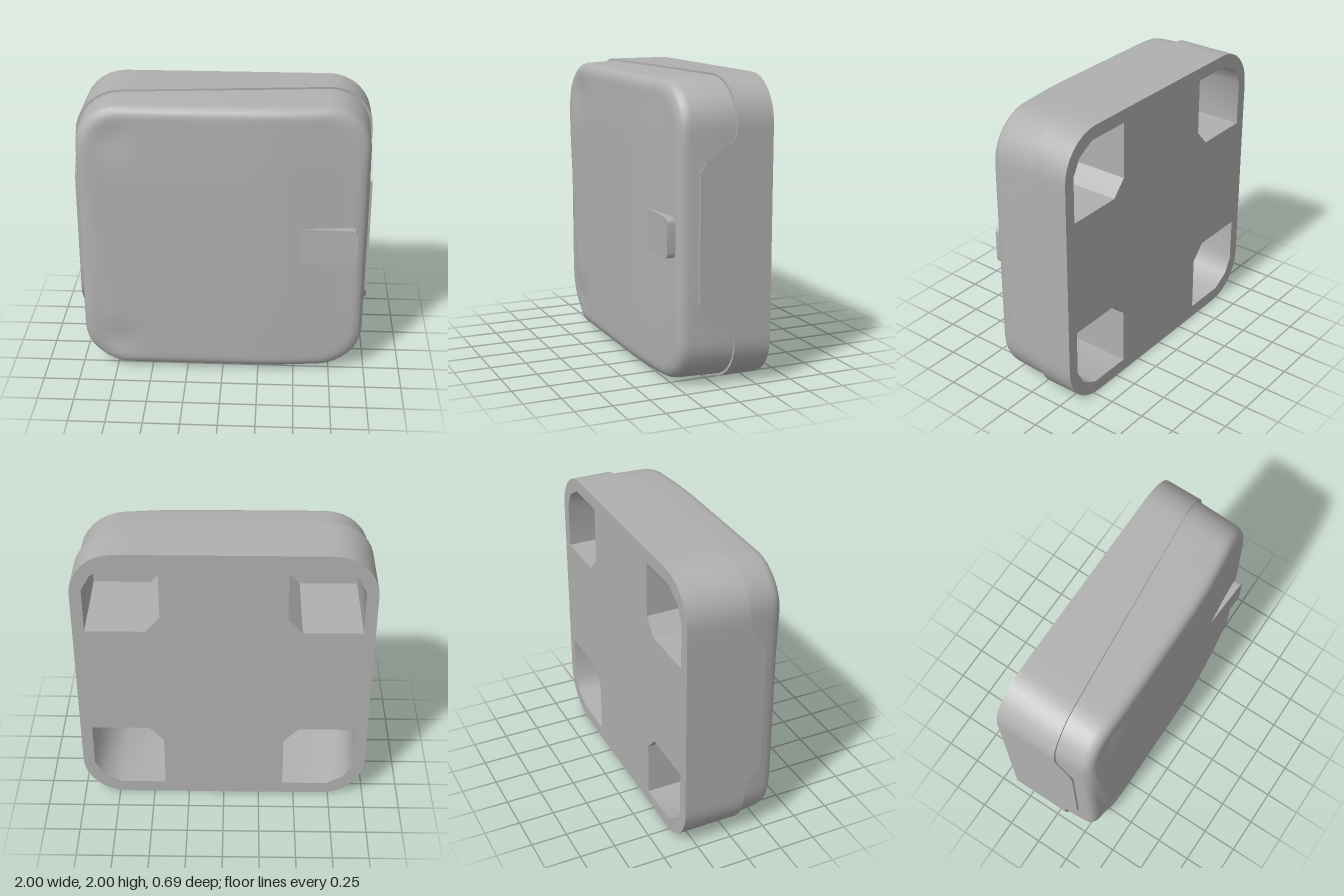
import * as THREE from 'three';
import { toCreasedNormals } from 'three/addons/utils/BufferGeometryUtils.js';

const BACK = -0.345;
const grey = new THREE.MeshStandardMaterial({ color: 0xb0b0b0 });
grey.name = 'plain grey';

const smooth = THREE.MathUtils.smoothstep;

// Rounded square, counter-clockwise; the sides are sampled where the seam bends.
function outline() {
  const r = 0.3, stops = [0.63, 0.59, 0.48, 0.42, 0.25, 0.1];
  const side = [...stops, ...stops.map(s => -s).reverse()];
  const pts = [];
  for (let k = 0; k < 4; k++) {
    const a = k * Math.PI / 2, c = Math.cos(a), s = Math.sin(a);
    const add = (x, y) => pts.push([x * c - y * s, x * s + y * c]);
    side.forEach(v => add(1, -v));
    for (let i = 0; i <= 8; i++) {
      const t = i / 8 * Math.PI / 2;
      add(1 - r + r * Math.cos(t), 1 - r + r * Math.sin(t));
    }
  }
  return pts;
}

// Slanted parting line with a raised tongue on each side wall.
function seam(x, y) {
  const steps = [[0.42, 1], [0.48, 0.84], [0.59, 0.16], [0.63, 0.03], [0.7, 0]];
  let lift = 0;
  const v = Math.abs(y);
  if (Math.abs(x) > 0.999) {
    if (v <= 0.42) lift = 1;
    for (let i = 0; i < 4; i++) {
      const [a, p] = steps[i], [b, q] = steps[i + 1];
      if (v > a && v <= b) lift = p + (q - p) * (v - a) / (b - a);
    }
  }
  return -0.09 * x + lift * (x > 0 ? 0.25 : 0.12);
}

// Soft front surface: falls to the right, with a step and two dents on the left.
function front(x, y) {
  const edge = -0.86 - 0.12 * y;
  let z = 0.34 - 0.05 * smooth(x, 0.25, 0.95) - 0.008 * smooth(Math.abs(y), 0.5, 1);
  z -= 0.015 * (1 - smooth(x, edge - 0.05, edge + 0.02));
  z -= 0.018 * Math.exp(-((x + 0.73) ** 2 + (Math.abs(y) - 0.76) ** 2) / 0.015);
  return z;
}

// Skin over a list of equal-length closed rings of [x, y, z].
function loft(rings, crease = 0.6) {
  const n = rings[0].length, index = [];
  for (let i = 0; i < rings.length - 1; i++) {
    for (let j = 0; j < n; j++) {
      const a = i * n + j, b = i * n + (j + 1) % n;
      index.push(a, b, b + n, a, b + n, a + n);
    }
  }
  const g = new THREE.BufferGeometry();
  g.setAttribute('position', new THREE.Float32BufferAttribute(rings.flat(2), 3));
  g.setIndex(index);
  return toCreasedNormals(g, crease);
}

function toShape(points, Type = THREE.Shape) {
  return new Type(points.map(p => new THREE.Vector2(p[0], p[1])));
}

export function createModel() {
  const model = new THREE.Group();
  const add = (name, geometry) => {
    const mesh = new THREE.Mesh(geometry, grey);
    mesh.name = name;
    mesh.position.y = 1;
    model.add(mesh);
  };
  const square = outline();
  const ring = (scale, height) => square.map(([x, y]) => [x * scale, y * scale, height(x, y)]);

  // Base wall and the narrow rim under the lid
  add('baseWall', loft([ring(1, () => BACK), ring(1, seam), ring(0.97, seam)]));

  // Lid: side wall, rounded edge, then front surface
  const lid = [ring(0.987, (x, y) => seam(x, y) - 0.02)];
  const edge = [[0.977, 0.075], [0.972, 0.05], [0.962, 0.028], [0.945, 0.012], [0.92, 0.003]];
  edge.forEach(([s, drop]) => lid.push(ring(s, (x, y) => front(x * s, y * s) - drop)));
  const scales = [0.9, 0.87, 0.84, 0.81, 0.78, 0.74, 0.7, 0.65, 0.6, 0.5, 0.4, 0.25, 0.1, 0];
  scales.forEach(s => lid.push(ring(s, (x, y) => front(x * s, y * s))));
  add('lid', loft(lid, 0.8));

  // Latch tab: rises out of the front towards the right edge
  const tab = new THREE.Shape();
  tab.moveTo(0.5, -0.13);
  tab.lineTo(0.87, -0.13);
  tab.quadraticCurveTo(0.91, -0.13, 0.91, -0.09);
  tab.lineTo(0.91, 0.09);
  tab.quadraticCurveTo(0.91, 0.13, 0.87, 0.13);
  tab.lineTo(0.5, 0.13);
  const tabGeo = new THREE.ExtrudeGeometry(tab, { depth: 1, bevelEnabled: false, curveSegments: 5 });
  const pos = tabGeo.attributes.position;
  for (let i = 0; i < pos.count; i++) {
    const top = 0.321 + 0.024 * (pos.getX(i) - 0.5) / 0.41;
    pos.setZ(i, pos.getZ(i) > 0.5 ? top : 0.27);
  }
  add('latchTab', toCreasedNormals(tabGeo, 0.6));

  // Back plate with four deep corner pockets
  const pocket = [[0.42, 0.91], [0.74, 0.91], [0.86, 0.84], [0.92, 0.73], [0.92, 0.41], [0.52, 0.41], [0.42, 0.52]];
  const plate = toShape(square);
  for (const sx of [1, -1]) {
    for (const sy of [1, -1]) {
      const pts = pocket.map(([x, y]) => [x * sx, y * sy]);
      if (sx * sy < 0) pts.reverse();
      plate.holes.push(toShape(pts, THREE.Path));
      const floor = 0.26;
      add('pocket', loft([
        pts.map(([x, y]) => [x, y, BACK]),
        pts.map(([x, y]) => [x, y, floor]),
        pts.map(() => [0.68 * sx, 0.67 * sy, floor]),
      ], 0.7));
    }
  }
  const plateGeo = new THREE.ShapeGeometry(plate);
  plateGeo.rotateY(Math.PI);
  plateGeo.translate(0, 0, BACK);
  add('backPlate', plateGeo);

  return model;
}
